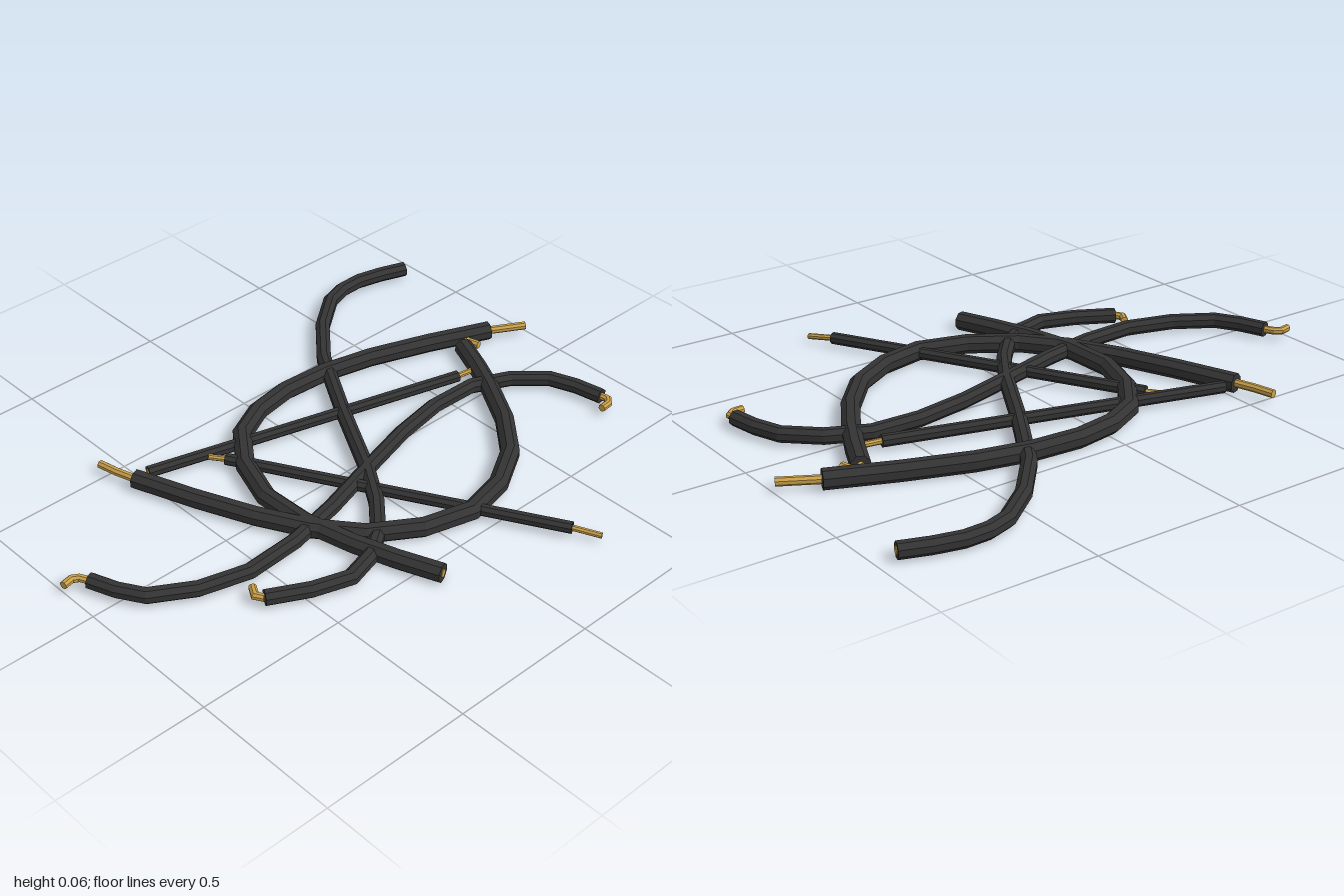
import * as THREE from 'three';

const SIDES = 8;
const AXIS_Y = 0.032;
const rubber = new THREE.MeshStandardMaterial({ color: 0x333333, flatShading: true });
const copper = new THREE.MeshStandardMaterial({ color: 0xc9a04a, flatShading: true });

// A point on the ground plan, lifted to the cable axis
const at = (x, z, dy = 0) => new THREE.Vector3(x, AXIS_Y + dy, z);

// Sweeps a round section along a path, with mitred bends and closed ends
function sweep(path, radius) {
  const up = new THREE.Vector3(0, 1, 0);
  const pos = [], index = [];
  const last = path.length - 1;
  path.forEach((p, i) => {
    const dirIn = p.clone().sub(path[Math.max(i - 1, 0)]).normalize();
    const dirOut = path[Math.min(i + 1, last)].clone().sub(p).normalize();
    const dir = dirIn.clone().add(dirOut).normalize();
    const side = new THREE.Vector3().crossVectors(up, dir).normalize();
    const mitre = i > 0 && i < last ? 1 / Math.max(0.75, dir.dot(dirIn)) : 1;
    for (let k = 0; k < SIDES; k++) {
      const t = ((k + 0.5) / SIDES) * Math.PI * 2;
      const v = p.clone().addScaledVector(side, Math.cos(t) * radius * mitre);
      pos.push(v.x, v.y + Math.sin(t) * radius, v.z);
    }
  });
  for (let i = 0; i < last; i++) {
    for (let k = 0; k < SIDES; k++) {
      const a = i * SIDES + k, b = i * SIDES + ((k + 1) % SIDES);
      index.push(a, b, a + SIDES, b, b + SIDES, a + SIDES);
    }
  }
  // End caps
  const e = last * SIDES;
  for (let k = 1; k < SIDES - 1; k++) index.push(0, k + 1, k, e, e + k, e + k + 1);
  const geo = new THREE.BufferGeometry();
  geo.setAttribute('position', new THREE.Float32BufferAttribute(pos, 3));
  geo.setIndex(index);
  geo.computeVertexNormals();
  return geo;
}

// Bare wire beyond a sleeve end; with no points it is a stub cut flush with the sleeve
function wirePath(end, inner, points) {
  if (points.length) return [end, ...points];
  const out = end.clone().sub(inner).normalize();
  return [end.clone().addScaledVector(out, -0.02), end.clone().addScaledVector(out, 0.003)];
}

// One cable: sleeve along a curve (each span cut into straight pieces) and a wire at both ends
function makeCable(name, radius, core, spanPieces, knots, startWire, endWire) {
  const cable = new THREE.Group();
  cable.name = name;
  const path = new THREE.CatmullRomCurve3(knots).getPoints((knots.length - 1) * spanPieces);
  const n = path.length;
  const add = (part, points, r, material) => {
    const mesh = new THREE.Mesh(sweep(points, r), material);
    mesh.name = part;
    cable.add(mesh);
  };
  add('sleeve', path, radius, rubber);
  add('startWire', wirePath(path[0], path[1], startWire), core, copper);
  add('endWire', wirePath(path[n - 1], path[n - 2], endWire), core, copper);
  return cable;
}

export function createModel() {
  const model = new THREE.Group();
  model.name = 'cutCables';

  // Thick cables
  model.add(makeCable('bowlCable', 0.032, 0.014, 2,
    [at(-.535, -.395), at(-.38, 0), at(-.19, .29), at(.12, .43), at(.42, .31), at(.63, .02), at(.74, -.21)],
    [at(-.555, -.46), at(-.57, -.53)],
    [at(.752, -.225), at(.775, -.22), at(.785, -.18)]));
  model.add(makeCable('archCable', 0.032, 0.014, 2,
    [at(.875, -.22), at(.46, -.38), at(.12, -.43), at(-.14, -.345), at(-.295, -.05), at(-.25, .3), at(-.15, .575)],
    [at(.99, -.155)],
    []));

  // Medium cables
  model.add(makeCable('longCable', 0.026, 0.013, 2,
    [at(.94, -.705), at(.76, -.758), at(.6, -.73), at(.34, -.48), at(.03, .06), at(-.16, .31), at(-.36, .405), at(-.605, .3)],
    [],
    [at(-.62, .275), at(-.6, .24)]));
  model.add(makeCable('waveCable', 0.026, 0.013, 2,
    [at(-.93, -.105), at(-.85, .06), at(-.56, .182), at(-.18, .125), at(.24, 0), at(.59, -.03), at(.815, .12), at(.865, .305)],
    [at(-.945, -.135), at(-.965, -.147), at(-1, -.14)],
    [at(.868, .33), at(.85, .347), at(.815, .35)]));

  // Thin straight cables
  model.add(makeCable('thinCableBack', 0.02, 0.01, 1,
    [at(-.485, -.395), at(.6, -.1)], [], [at(.67, -.09)]));
  model.add(makeCable('thinCableFront', 0.02, 0.01, 1,
    [at(-.262, -.28), at(.285, .695)], [at(-.295, -.325)], [at(.33, .775, -.008)]));

  return model;
}
